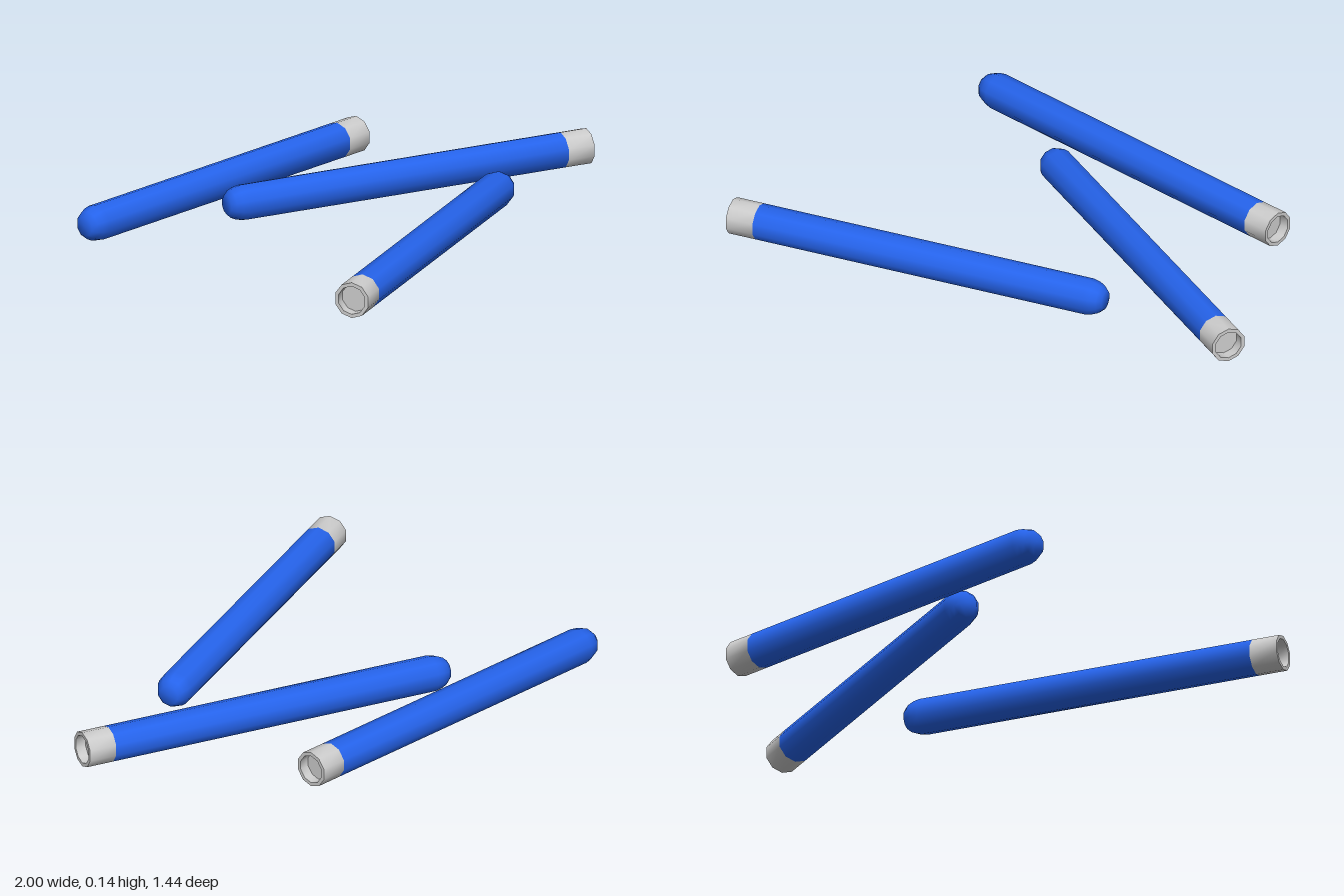
import * as THREE from 'three';
import { toCreasedNormals } from 'three/addons/utils/BufferGeometryUtils.js';

const SIDES = 10, R = 0.068, LENGTH = 1.495, CAP = 0.107;

// Ten-sided turned part, laid along +x with a ridge on top
function turned(name, profile, color) {
  const points = profile.map(([r, along]) => new THREE.Vector2(r, along));
  const lathe = new THREE.LatheGeometry(points, SIDES, Math.PI / 2);
  lathe.rotateZ(-Math.PI / 2);
  const mesh = new THREE.Mesh(
    toCreasedNormals(lathe, 0.85),
    new THREE.MeshStandardMaterial({ color })
  );
  mesh.name = name;
  return mesh;
}

// One stick: tip at x = 0, open grey end at x = LENGTH
function makeStick(name) {
  const stick = new THREE.Group();
  stick.name = name;
  const seam = LENGTH - CAP;
  // Coloured barrel with a rounded tip
  stick.add(turned('barrel', [
    [0, 0], [0.037, 0], [0.053, 0.017], [0.063, 0.04], [R, 0.065], [R, seam]
  ], 0x2563eb));
  // Grey end with a rim and a shallow recess
  stick.add(turned('endCap', [
    [R, seam], [R, LENGTH], [0.054, LENGTH], [0.054, LENGTH - 0.04], [0, LENGTH - 0.04]
  ], 0xcccccc));
  return stick;
}

export function createModel() {
  const model = new THREE.Group();
  model.name = 'sticks';
  // Open end position (x, z) and heading in degrees
  const layout = [
    ['backStick', 0.525, -0.661, 0],
    ['middleStick', 0.977, 0.064, -20],
    ['frontStick', -0.977, 0.657, 200]
  ];
  for (const [name, x, z, degrees] of layout) {
    const a = THREE.MathUtils.degToRad(degrees);
    const stick = makeStick(name);
    stick.rotation.y = a;
    stick.position.set(x - LENGTH * Math.cos(a), R, z + LENGTH * Math.sin(a));
    model.add(stick);
  }
  return model;
}
